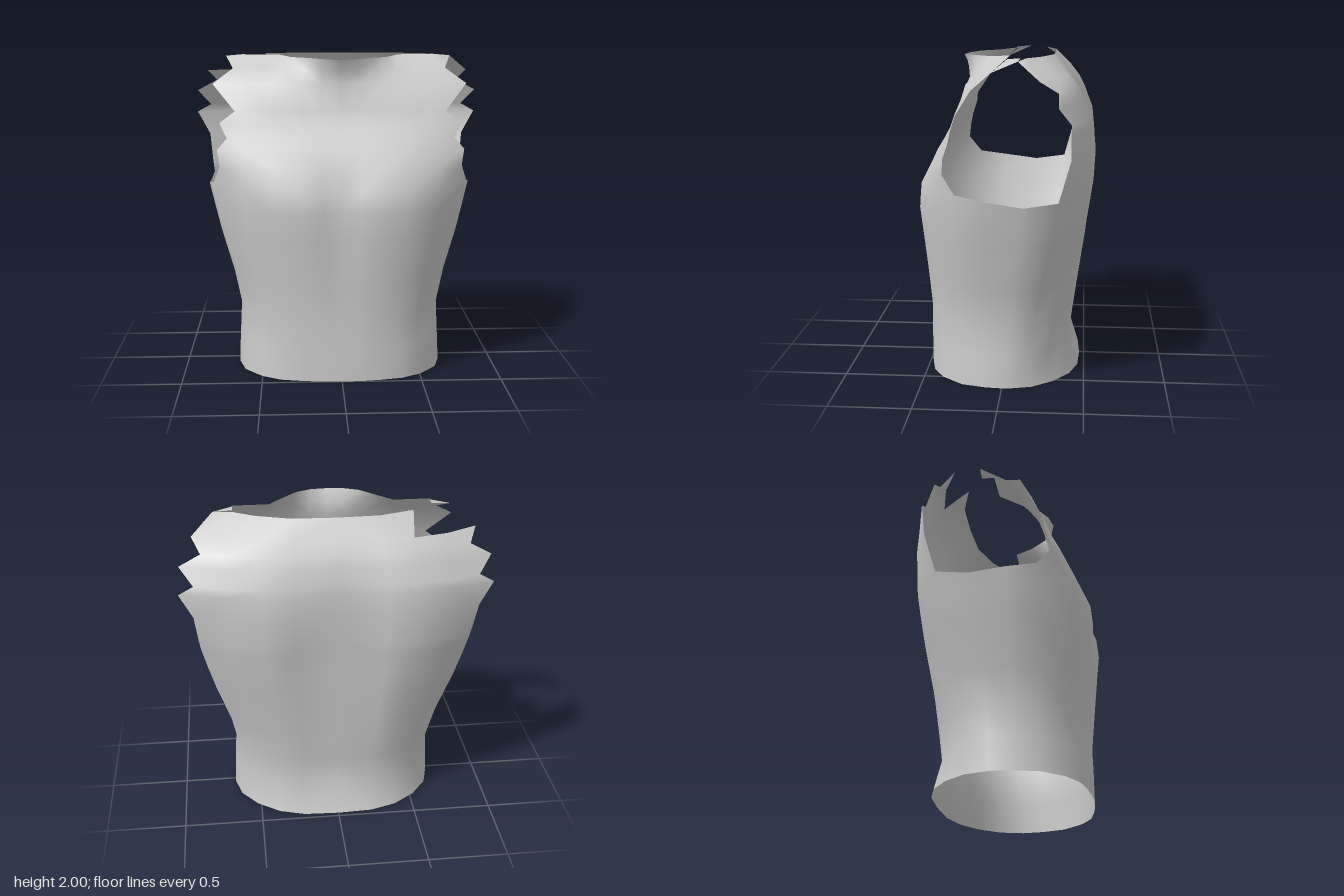
import * as THREE from 'three';
import { mergeVertices } from 'three/addons/utils/BufferGeometryUtils.js';

// Half outlines [x, z], running from the front centre round the left side to the back centre
const HEM = [[0, .5], [.12, .495], [.24, .48], [.38, .45], [.5, .38], [.61, .25], [.65, .1],
  [.66, -.03], [.62, -.18], [.52, -.31], [.38, -.41], [.22, -.46], [0, -.47]];
const CHEST = [[0, .485], [.12, .52], [.25, .535], [.42, .51], [.6, .44], [.79, .26], [.83, .08],
  [.84, -.14], [.83, -.34], [.66, -.46], [.45, -.53], [.28, -.53], [0, -.46]];

// Blend the two outlines, then fit them to a half width, front depth and back depth
function torsoRow([y, m, w, front, back]) {
  const pts = HEM.map(([x, z], i) => [x + (CHEST[i][0] - x) * m, z + (CHEST[i][1] - z) * m]);
  const maxX = Math.max(...pts.map(p => p[0]));
  const maxZ = Math.max(...pts.map(p => p[1]));
  const minZ = Math.min(...pts.map(p => p[1]));
  return pts.map(([x, z]) => [x * w / maxX, y, z > 0 ? z * front / maxZ : z * back / minZ]);
}

const torso = [
  [0, 0, .665, .5, -.47], [.2, .1, .655, .495, -.4], [.4, .25, .645, .49, -.425],
  [.62, .45, .69, .505, -.455], [.9, .75, .77, .53, -.495], [1.07, .92, .81, .548, -.515],
  [1.2, 1, .84, .535, -.53],
].map(torsoRow);
const chestRow = torso[torso.length - 1];
chestRow[7][1] = 1.17;
chestRow[5][1] = 1.23;

// Front yoke: [y, ragged edge x, centre z, edge z]
const frontX = [0, .12, .25, .42, .6];
const frontWeight = [.97, 1, 1, .93, .6];
const frontYoke = [
  chestRow.slice(0, 6),
  ...[[1.34, .745, .46, .34], [1.44, .76, .41, .33], [1.51, .70, .365, .31], [1.6, .745, .315, .285],
    [1.67, .65, .285, .27], [1.83, .79, .238, .165]].map(([y, ex, cz, ez]) => [
    ...frontX.map((x, i) => [x, y, ez + (cz - ez) * frontWeight[i]]), [ex, y, ez]]),
  [[0, 1.91, .25], [.11, 1.91, .245], [.22, 1.92, .2], [.35, 1.92, .14], [.5, 1.92, .09], [.67, 1.92, .06]],
  // neckline, flaring forward at the centre
  [[0, 1.98, .285], [.1, 1.985, .262], [.2, 1.99, .2], [.3, 1.99, .09], [.38, 2, -.03], [.6, 2, -.03]],
];

// Back yoke: [y, ragged edge x, edge z, shoulder blade z, spine z]
const backYoke = [
  chestRow.slice(8),
  ...[[1.27, .84, -.36, -.54, -.465], [1.45, .86, -.41, -.55, -.475], [1.6, .94, -.41, -.535, -.475],
    [1.65, .85, -.41, -.515, -.47], [1.75, .93, -.34, -.478, -.455], [1.82, .80, -.335, -.44, -.425],
    [1.89, .85, -.23, -.385, -.38]].map(([y, ex, ez, bz, sz]) => [
    [ex, y, ez], [.66, y, ez + (bz - ez) * .65], [.45, y, bz], [.28, y, bz], [0, y, sz]]),
  [[.72, 1.99, -.1], [.6, 2, -.14], [.47, 2, -.22], [.26, 2, -.29], [0, 2, -.3]],
];

// Add a grid of rows on one side of the body; skip() leaves torn gaps
function addGrid(out, rows, side, skip = () => false) {
  const tri = (a, b, c) => {
    for (const p of side > 0 ? [a, b, c] : [a, c, b]) out.push(p[0] * side, p[1], p[2]);
  };
  for (let i = 0; i < rows.length - 1; i++) {
    for (let j = 0; j < rows[i].length - 1; j++) {
      if (skip(i, j)) continue;
      tri(rows[i][j], rows[i][j + 1], rows[i + 1][j + 1]);
      tri(rows[i][j], rows[i + 1][j + 1], rows[i + 1][j]);
    }
  }
}

export function createModel() {
  const cloth = new THREE.MeshStandardMaterial({ color: 0xcccccc, side: THREE.DoubleSide });
  cloth.name = 'grey cloth';

  const out = [];
  const lastBack = backYoke.length - 2;
  for (const side of [1, -1]) {
    addGrid(out, torso, side);
    addGrid(out, frontYoke, side);
    // the right shoulder is torn open behind
    addGrid(out, backYoke, side, (i, j) => side < 0 && i === lastBack && j < 2);
    // shoulder tip of the front yoke, reaching the back at the left shoulder
    addGrid(out, [[[.6, 1.995, -.03], [.67, 1.92, .06]], [[.6, 2, -.11], [.72, 1.99, -.1]]], side);
  }

  // Weld the panels so the shading runs smoothly across them
  let geometry = new THREE.BufferGeometry();
  geometry.setAttribute('position', new THREE.Float32BufferAttribute(out, 3));
  geometry = mergeVertices(geometry, 1e-4);
  geometry.computeVertexNormals();

  const vest = new THREE.Mesh(geometry, cloth);
  vest.name = 'sleevelessVest';
  const group = new THREE.Group();
  group.name = 'vest';
  group.add(vest);
  return group;
}
